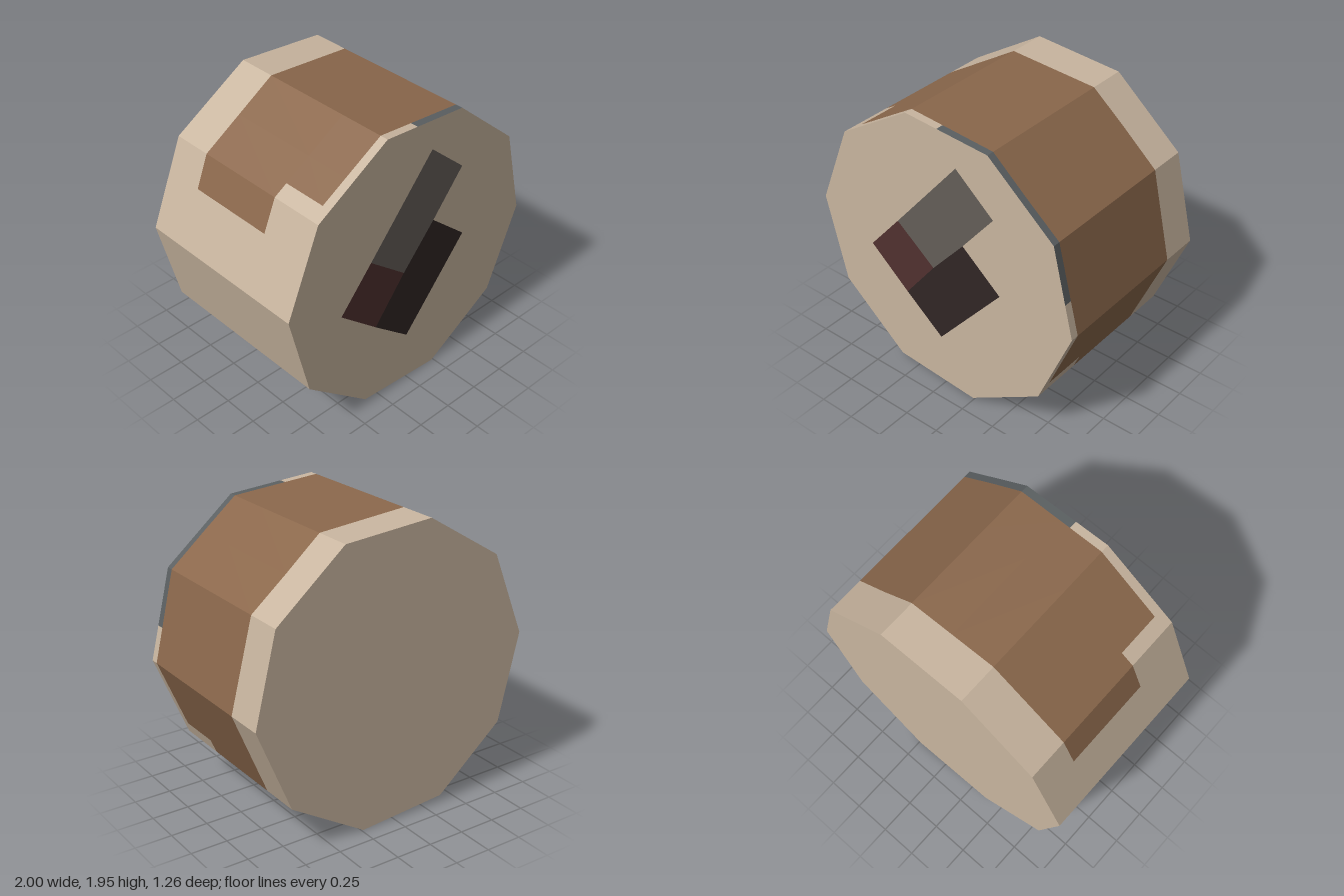
import * as THREE from 'three';

const SIDES = 10, RADIUS = 1.002, HALF = 0.63, CENTRE_Y = 0.976, START = 103.7;

const mat = (name, color) => {
  const m = new THREE.MeshStandardMaterial({ color });
  m.name = name;
  return m;
};

// Point on the ten-sided outline; u counts corners clockwise from the top left one
function corner(k) {
  const a = THREE.MathUtils.degToRad(START - (360 / SIDES) * k);
  return new THREE.Vector2(RADIUS * Math.cos(a), CENTRE_Y + RADIUS * Math.sin(a));
}
function outline(u) {
  const k = Math.floor(u);
  return corner(k).lerp(corner(k + 1), u - k);
}

// Strip of the rim from u0 to u1, between two depths that may vary along it
function rimStrip(u0, u1, back, front) {
  const us = [u0];
  for (let u = Math.floor(u0 * 2 + 1) / 2; u < u1; u += 0.5) us.push(u);
  us.push(u1);
  const pos = [];
  for (let i = 0; i < us.length - 1; i++) {
    const [a, b] = [us[i], us[i + 1]];
    const p = outline(a), q = outline(b);
    const fa = [p.x, p.y, front(a)], ba = [p.x, p.y, back(a)];
    const fb = [q.x, q.y, front(b)], bb = [q.x, q.y, back(b)];
    pos.push(...fa, ...fb, ...bb, ...fa, ...bb, ...ba);
  }
  const g = new THREE.BufferGeometry();
  g.setAttribute('position', new THREE.Float32BufferAttribute(pos, 3));
  g.computeVertexNormals();
  return g;
}

const points = (list) => list.map(([x, y]) => new THREE.Vector2(x, y));

export function createModel() {
  const group = new THREE.Group();
  const tan = mat('tan', 0xc8b59f);
  const brown = mat('brown', 0x8a674b);
  const slate = mat('slate', 0x5a5f61);
  const grey = mat('warm grey', 0x645e58);
  const maroon = mat('maroon', 0x50312f);
  const dark = mat('near black', 0x302625);

  const add = (name, geometry, material) => {
    const mesh = new THREE.Mesh(geometry, material);
    mesh.name = name;
    group.add(mesh);
    return mesh;
  };

  // Depth limits of the painted band, narrowing slightly towards its ends
  const rear = () => -HALF;
  const face = () => HALF;
  const step = () => 0.265;
  const bandBack = (u) => -0.376 + 0.008 * Math.abs(u - 1.5);
  const bandFront = (u) => 0.583 - 0.006 * Math.abs(u - 1.5);

  // Rim: [name, material, u0, u1, back, front]
  [
    ['rimBelow', tan, 4.37, 8.63, rear, face],
    ['rimBehindBand', tan, -1.37, 4.37, rear, bandBack],
    ['rimBandLongPart', brown, -1.37, 4.37, bandBack, step],
    ['rimBandShortPart', brown, -0.83, 3.84, step, bandFront],
    ['rimNotchStart', tan, -1.37, -0.83, step, face],
    ['rimNotchEnd', tan, 3.84, 4.37, step, face],
    ['rimEdgeStart', tan, -0.83, 0.39, bandFront, face],
    ['rimEdgeStripe', slate, 0.39, 2.62, bandFront, face],
    ['rimEdgeEnd', tan, 2.62, 3.84, bandFront, face],
  ].forEach(([name, m, u0, u1, b, f]) => add(name, rimStrip(u0, u1, b, f), m));

  // Back cap
  const ring = Array.from({ length: SIDES }, (_, k) => corner(k));
  const back = add('backCap', new THREE.ShapeGeometry(new THREE.Shape(ring)), tan);
  back.rotation.y = Math.PI;
  back.scale.x = 1;
  back.position.z = -HALF;
  // Mirror the outline so that the turned cap meets the rim
  back.geometry.dispose();
  back.geometry = new THREE.ShapeGeometry(
    new THREE.Shape(ring.map((p) => new THREE.Vector2(-p.x, p.y))));

  // Front cap, open where the three painted blocks sit
  const frontShape = new THREE.Shape(ring);
  frontShape.holes.push(new THREE.Path(points([
    [0.14, 1.72], [0.417, 1.48], [0.18, 1.19], [0.463, 0.95],
    [-0.02, 0.38], [-0.3, 0.61], [-0.59, 0.86], [-0.35, 1.14],
  ])));
  add('frontCap', new THREE.ShapeGeometry(frontShape), tan).position.z = HALF;

  // Painted blocks on the front
  [
    ['frontGreyBlock', grey, [[0.14, 1.72], [0.417, 1.48], [0.18, 1.19], [-0.065, 0.91], [-0.35, 1.14]]],
    ['frontMaroonBlock', maroon, [[-0.35, 1.14], [-0.065, 0.91], [-0.3, 0.61], [-0.59, 0.86]]],
    ['frontDarkBlock', dark, [[0.18, 1.19], [0.463, 0.95], [-0.02, 0.38], [-0.3, 0.61], [-0.065, 0.91]]],
  ].forEach(([name, m, list]) => {
    add(name, new THREE.ShapeGeometry(new THREE.Shape(points(list))), m).position.z = HALF;
  });

  return group;
}
